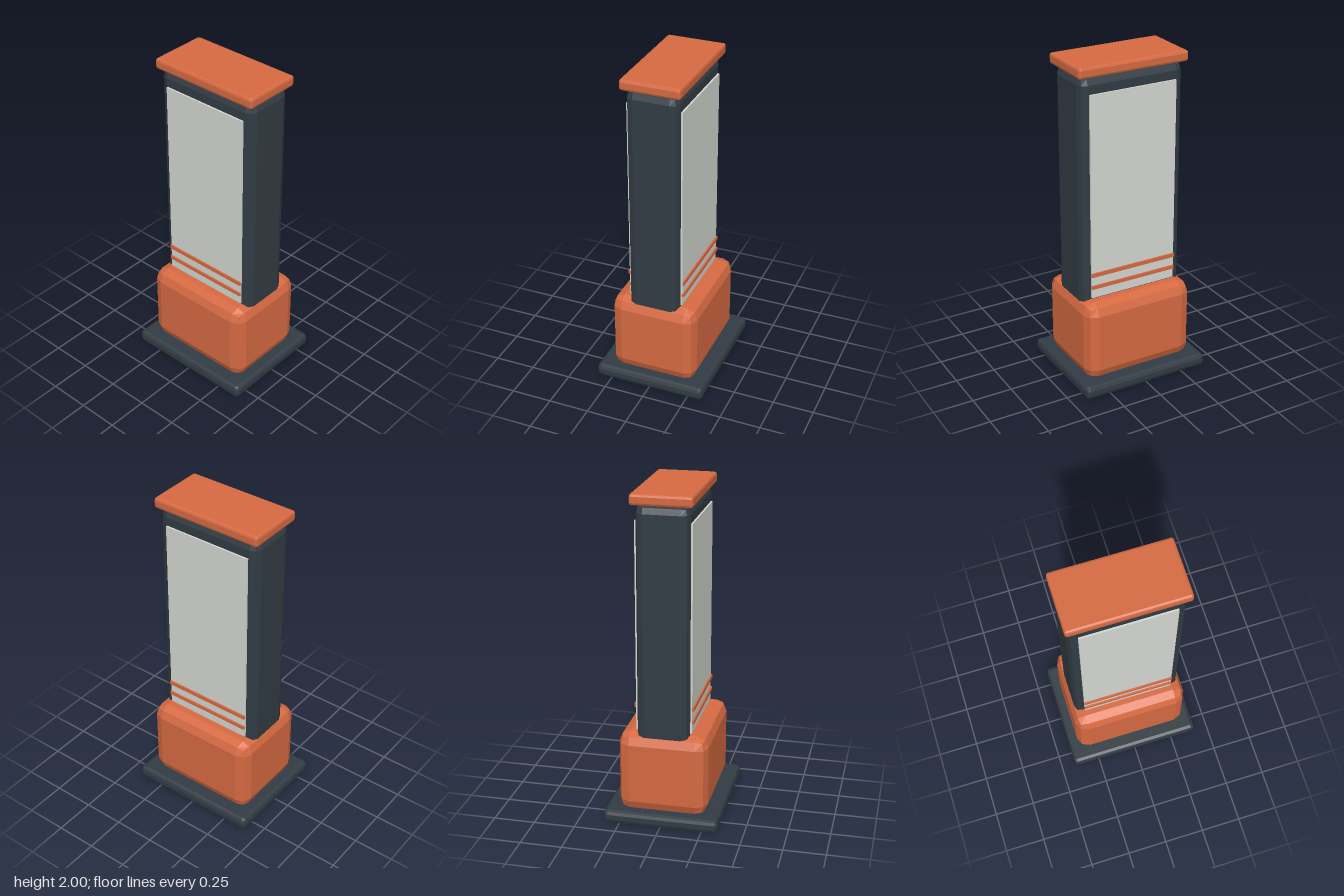
import * as THREE from 'three';
import { RoundedBoxGeometry } from 'three/addons/geometries/RoundedBoxGeometry.js';

const material = (color) => new THREE.MeshStandardMaterial({ color, flatShading: true });

export function createModel() {
  const group = new THREE.Group();
  const orange = material(0xd66a42);
  const dark = material(0x323c44);
  const pale = material(0xd4d7d1);

  // Adds a box spanning y0..y1; a radius gives it two-facet bevelled edges
  function addBox(name, mat, width, depth, y0, y1, radius = 0, z = 0) {
    const size = [width, y1 - y0, depth];
    const geometry = radius
      ? new RoundedBoxGeometry(...size, 1, radius)
      : new THREE.BoxGeometry(...size);
    const mesh = new THREE.Mesh(geometry, mat);
    mesh.name = name;
    mesh.position.set(0, (y0 + y1) / 2, z);
    group.add(mesh);
  }

  // Stacked body, from the ground up
  addBox('footPlate', dark, 0.826, 0.692, 0, 0.08, 0.025);
  addBox('pedestal', orange, 0.714, 0.538, 0.063, 0.566, 0.07);
  addBox('column', dark, 0.67, 0.314, 0.45, 1.935, 0.048);
  addBox('cap', orange, 0.704, 0.362, 1.935, 2, 0.015);

  // Display panel and two accent strips on the front and back
  for (const [side, s] of [['front', 1], ['back', -1]]) {
    addBox(side + 'Panel', pale, 0.56, 0.014, 0.575, 1.835, 0, s * 0.161);
    addBox(side + 'UpperStrip', orange, 0.56, 0.016, 0.714, 0.738, 0, s * 0.17);
    addBox(side + 'LowerStrip', orange, 0.56, 0.016, 0.635, 0.657, 0, s * 0.17);
  }
  return group;
}
